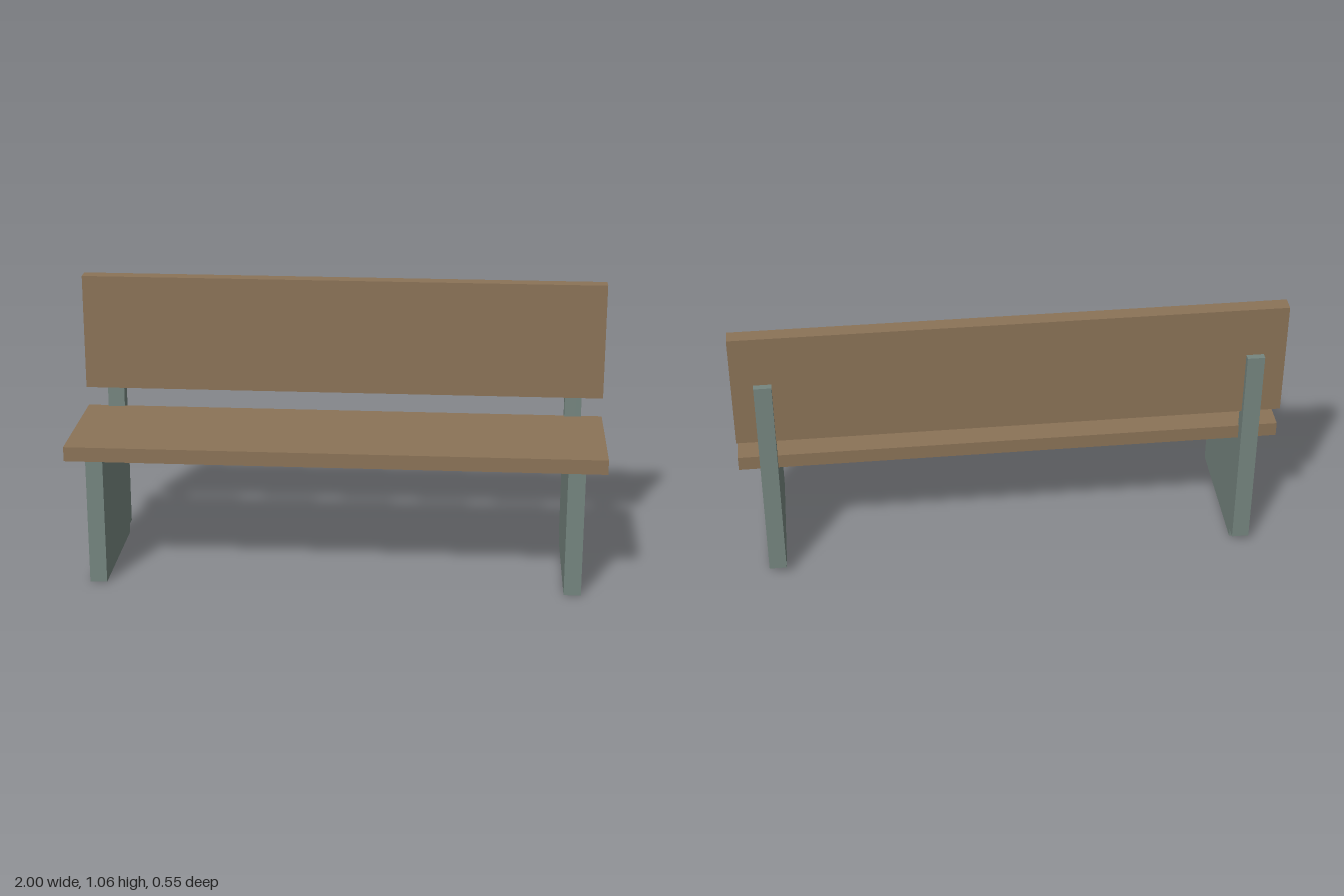
import * as THREE from 'three';

export function createModel() {
  const bench = new THREE.Group();
  bench.name = 'bench';

  const wood = new THREE.MeshStandardMaterial({ color: 0x8b7357 });
  wood.name = 'brown wood';
  const metal = new THREE.MeshStandardMaterial({ color: 0x75857f });
  metal.name = 'grey green metal';

  // Box given by its extents along each axis
  function addBox(name, material, [x0, x1], [y0, y1], [z0, z1]) {
    const mesh = new THREE.Mesh(new THREE.BoxGeometry(x1 - x0, y1 - y0, z1 - z0), material);
    mesh.position.set((x0 + x1) / 2, (y0 + y1) / 2, (z0 + z1) / 2);
    mesh.name = name;
    bench.add(mesh);
  }

  // Wooden planks
  addBox('seat', wood, [-1, 1], [0.48, 0.535], [-0.228, 0.273]);
  addBox('backrest', wood, [-1, 1], [0.618, 1.064], [-0.249, -0.194]);

  // Panel leg and back post on each side
  for (const [side, x] of [['left', 0.888], ['right', -0.888]]) {
    const width = [x - 0.032, x + 0.032];
    addBox(side + 'Leg', metal, width, [0, 0.48], [-0.228, 0.273]);
    addBox(side + 'BackPost', metal, width, [0.034, 0.869], [-0.273, -0.217]);
  }

  return bench;
}
